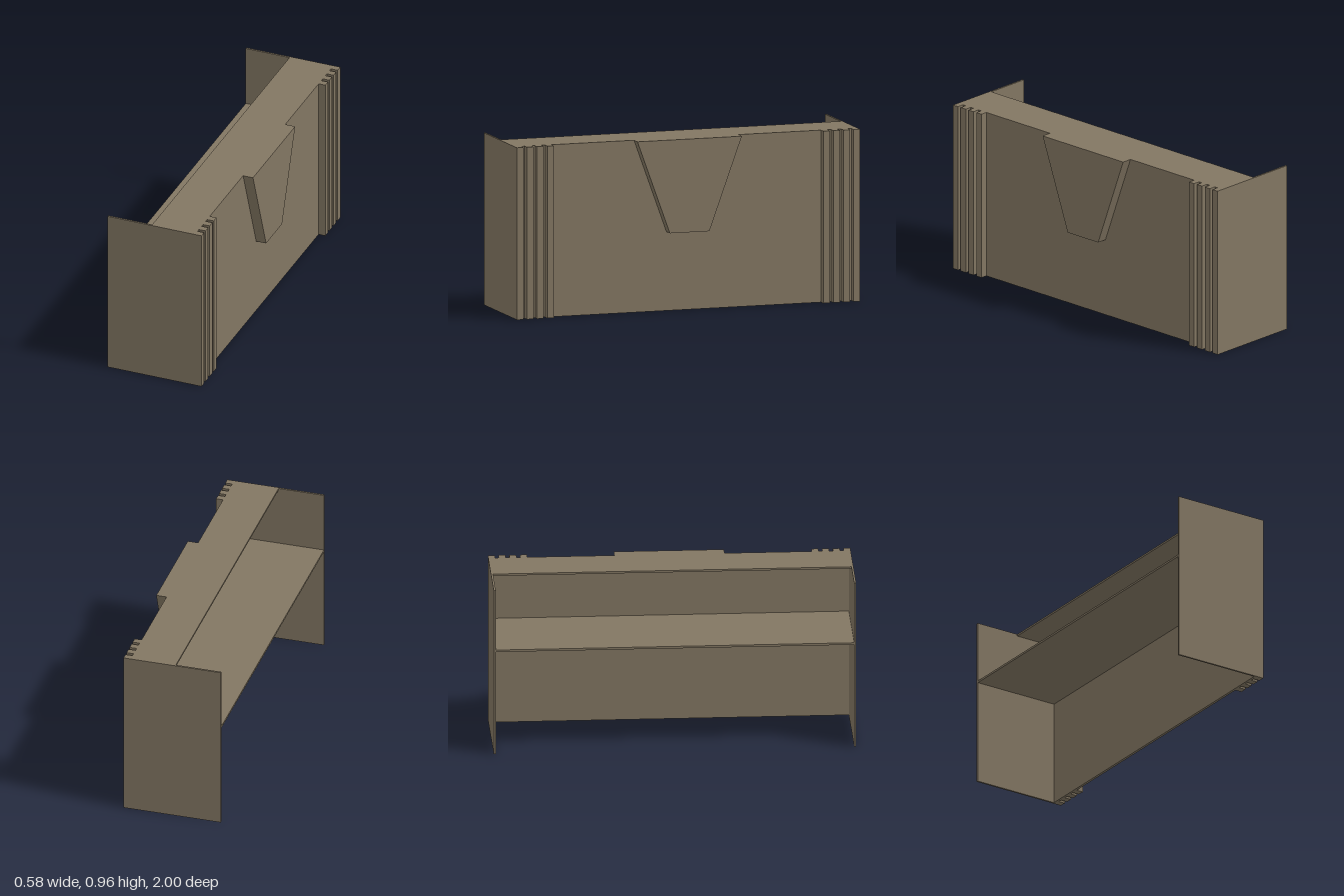
import * as THREE from 'three';

export function createModel() {
  const desk = new THREE.Group();
  desk.name = 'receptionDesk';
  const wood = new THREE.MeshStandardMaterial({ color: 0x827662 });
  wood.name = 'taupeLaminate';

  const H = 0.96, T = 0.011;            // overall height, board thickness
  const BACK = -0.289, FACE = 0.23;     // open staff side, outer face of the front panel
  const INNER = 0.216;                  // inner face of the front panel

  // Box given by its minimum and maximum on each axis
  function board(name, x0, x1, y0, y1, z0, z1) {
    const geo = new THREE.BoxGeometry(x1 - x0, y1 - y0, z1 - z0);
    const mesh = new THREE.Mesh(geo, wood);
    mesh.position.set((x0 + x1) / 2, (y0 + y1) / 2, (z0 + z1) / 2);
    mesh.name = name;
    desk.add(mesh);
  }

  // Main boards
  const inside = 1 - T;
  board('frontPanel', INNER, FACE, 0, H - T, -inside, inside);
  board('counterTop', -0.028, FACE, H - T, H, -inside, inside);
  board('workSurface', BACK, INNER, 0.598, 0.61, -inside, inside);

  // End panels, each with four vertical slats on the front panel
  const slat = 0.038, pitch = 0.059;
  for (const side of [-1, 1]) {
    const zs = (a, b) => (side > 0 ? [a, b] : [-b, -a]);
    board('endPanel', BACK, FACE, 0, H, ...zs(inside, 1));
    for (let i = 0; i < 4; i++) {
      const outer = 1 - i * pitch;
      board('verticalSlat', FACE, 0.27, 0, H, ...zs(outer - slat, outer));
    }
  }

  // Tapered plaque in the middle of the front panel
  const outline = new THREE.Shape([
    new THREE.Vector2(-0.115, 0.44),
    new THREE.Vector2(0.115, 0.44),
    new THREE.Vector2(0.304, H),
    new THREE.Vector2(-0.304, H),
  ]);
  const plaque = new THREE.Mesh(
    new THREE.ExtrudeGeometry(outline, { depth: 0.289 - FACE, bevelEnabled: false }), wood);
  plaque.rotation.y = Math.PI / 2;
  plaque.position.x = FACE;
  plaque.name = 'taperedPlaque';
  desk.add(plaque);

  return desk;
}
